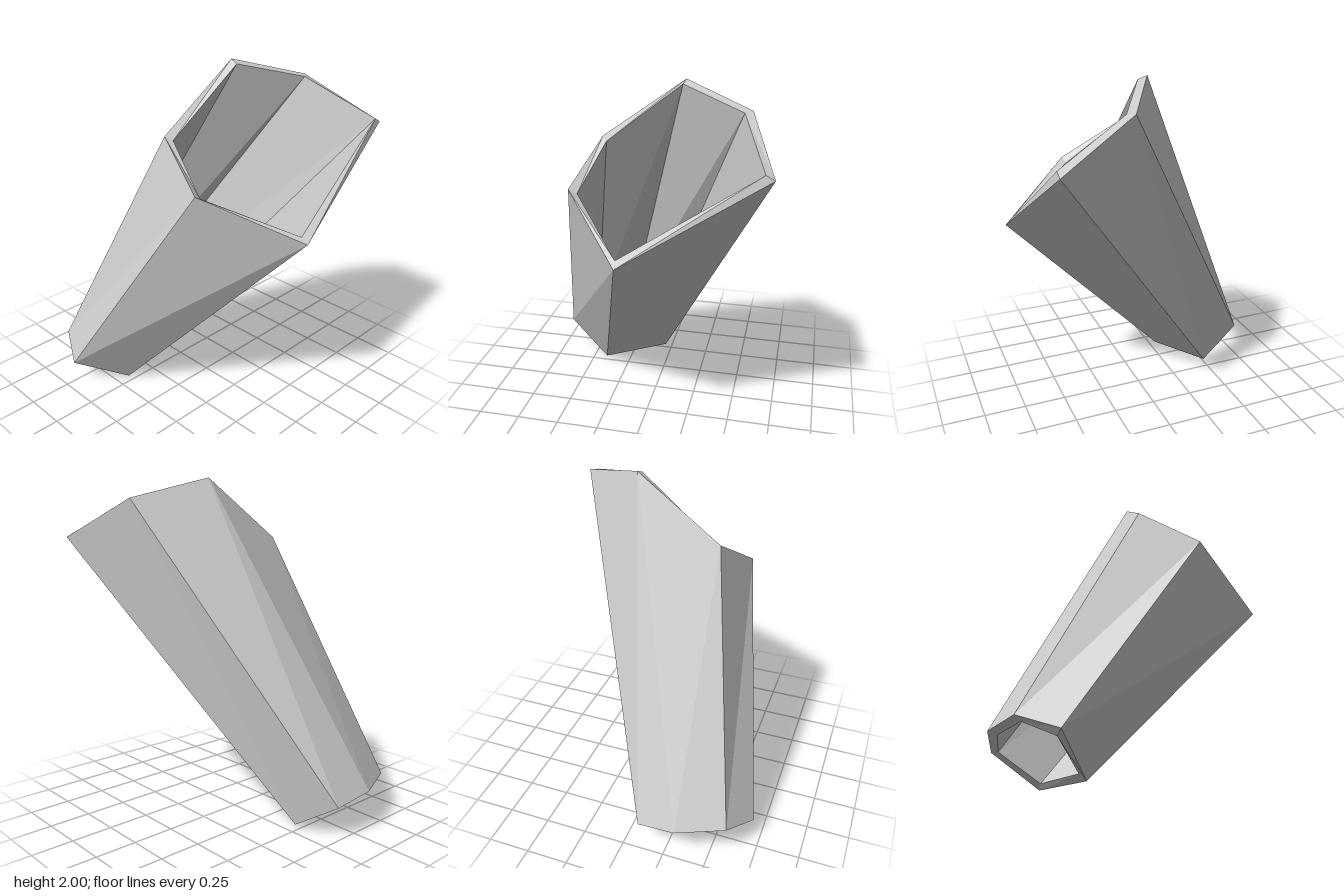
import * as THREE from 'three';

// Six-sided tapered open sleeve: corners run counter-clockwise seen from above
const TOP = [
  [0.02, 2.0, -0.175], [-0.005, 1.655, 0.31], [0.335, 1.435, 0.415],
  [0.78, 1.19, 0.04], [0.665, 1.665, -0.715], [0.235, 1.89, -0.56],
];
const BOTTOM = [
  [-0.785, 0.245, 0.33], [-0.67, 0.25, 0.6], [-0.46, 0.165, 0.71],
  [-0.295, 0.0, 0.415], [-0.49, 0.03, 0.035], [-0.755, 0.2, 0.1],
];
// Wall thickness: step from each outer corner to its inner corner
const INSET = [
  [0.05, -0.02, 0.01], [0.035, -0.022, -0.03], [-0.012, -0.025, -0.047],
  [-0.04, 0.033, 0.003], [0, 0.025, 0.047], [0.035, -0.005, 0.04],
];

const inset = (ring) => ring.map((p, i) => p.map((v, k) => v + INSET[i][k]));

// Closed band of quads from one ring of corners to the next
function band(name, from, to, material) {
  const positions = [];
  from.forEach((a, i) => {
    const j = (i + 1) % from.length;
    positions.push(...a, ...from[j], ...to[j], ...a, ...to[j], ...to[i]);
  });
  const geometry = new THREE.BufferGeometry();
  geometry.setAttribute('position', new THREE.Float32BufferAttribute(positions, 3));
  geometry.computeVertexNormals();
  const mesh = new THREE.Mesh(geometry, material);
  mesh.name = name;
  return mesh;
}

export function createModel() {
  const grey = new THREE.MeshStandardMaterial({ color: 0xcccccc });
  grey.name = 'light grey';

  const topInner = inset(TOP);
  const bottomInner = inset(BOTTOM);

  const model = new THREE.Group();
  model.name = 'taperedSleeve';
  model.add(
    band('outerWall', BOTTOM, TOP, grey),
    band('innerWall', topInner, bottomInner, grey),
    band('topRim', TOP, topInner, grey),
    band('bottomRim', bottomInner, BOTTOM, grey),
  );
  return model;
}
